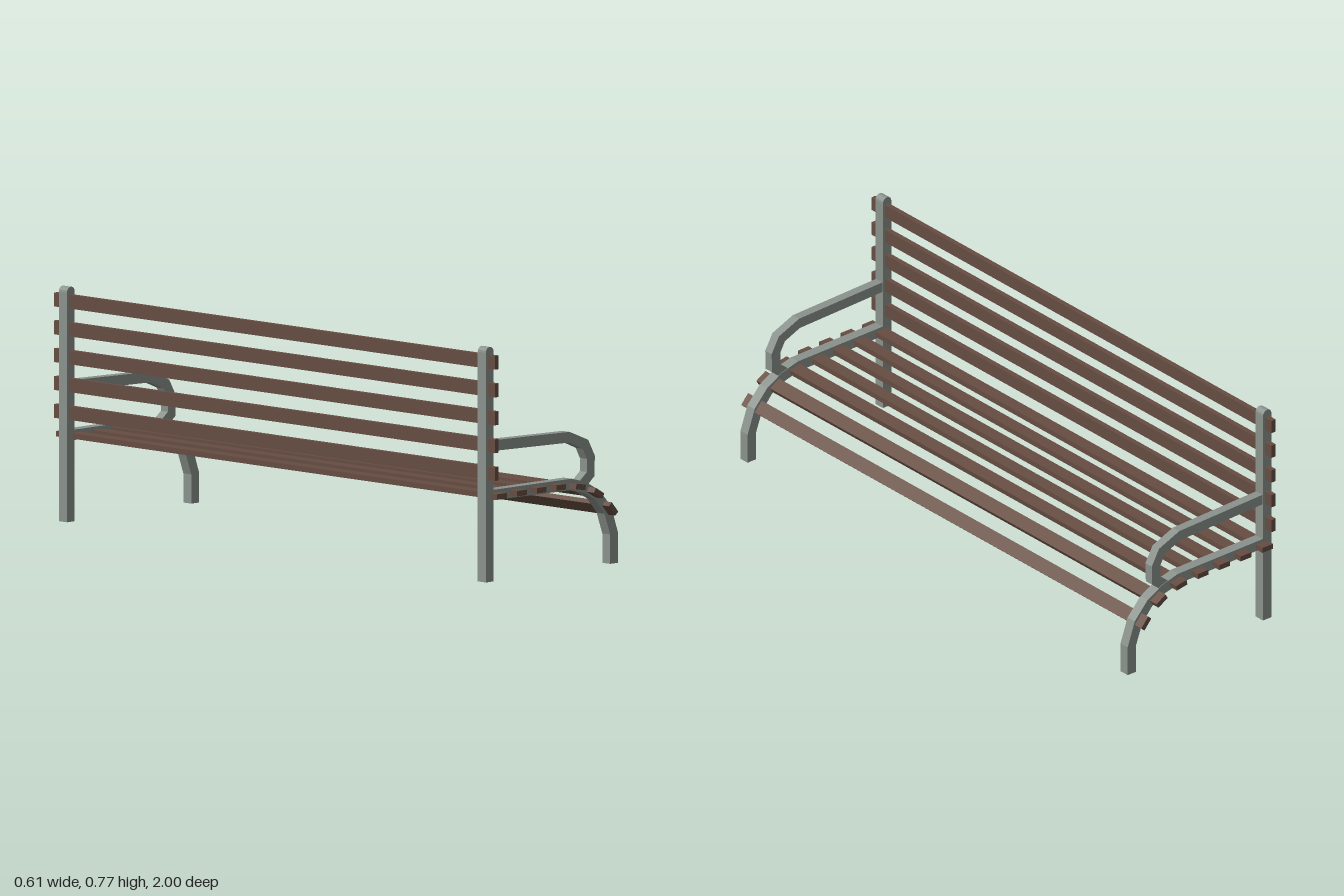
import * as THREE from 'three';

export function createModel() {
  const model = new THREE.Group();
  const metal = new THREE.MeshStandardMaterial({ color: 0x8a928c });
  const wood = new THREE.MeshStandardMaterial({ color: 0x664d42 });

  // Extrude a side profile (x, y) to a bar centred on z = 0
  const bar = (points, width) => {
    const shape = new THREE.Shape(points.map(([x, y]) => new THREE.Vector2(x, y)));
    const geometry = new THREE.ExtrudeGeometry(shape, { depth: width, bevelEnabled: false });
    return geometry.translate(0, 0, -width / 2);
  };

  // Back post with a rounded top
  const post = [[-0.307, 0], [-0.271, 0]];
  for (let i = 0; i <= 8; i++) {
    const a = (i / 8) * Math.PI;
    post.push([-0.289 + 0.018 * Math.cos(a), 0.752 + 0.018 * Math.sin(a)]);
  }

  // Seat rail curving down into the front leg
  const rail = [
    [-0.28, 0.3], [0.09, 0.298], [0.155, 0.281], [0.22, 0.246], [0.274, 0.187], [0.304, 0.102], [0.304, 0],
    [0.269, 0], [0.269, 0.096], [0.243, 0.167], [0.2, 0.218], [0.145, 0.246], [0.086, 0.261], [-0.28, 0.266],
  ];

  // Armrest curling back to the seat rail
  const arm = [
    [-0.28, 0.462], [0.083, 0.452], [0.169, 0.417], [0.2, 0.362], [0.198, 0.295], [0.165, 0.268],
    [0.13, 0.286], [0.163, 0.312], [0.163, 0.355], [0.144, 0.39], [0.08, 0.417], [-0.28, 0.427],
  ];

  const parts = [
    ['backPost', bar(post, 0.037)],
    ['seatRailAndFrontLeg', bar(rail, 0.036)],
    ['armrest', bar(arm, 0.032)],
  ];
  for (const side of [-1, 1]) {
    const frame = new THREE.Group();
    frame.name = side > 0 ? 'frontEndFrame' : 'rearEndFrame';
    frame.position.z = side * 0.95;
    for (const [name, geometry] of parts) {
      const mesh = new THREE.Mesh(geometry, metal);
      mesh.name = name;
      frame.add(mesh);
    }
    model.add(frame);
  }

  // Wooden slats spanning the full length
  const slatGeometry = new THREE.BoxGeometry(0.045, 0.018, 2);
  const addSlat = (name, x, y, degrees) => {
    const slat = new THREE.Mesh(slatGeometry, wood);
    slat.name = name;
    slat.position.set(x, y, 0);
    slat.rotation.z = THREE.MathUtils.degToRad(degrees);
    model.add(slat);
  };
  for (let i = 0; i < 5; i++) addSlat('backSlat', -0.289, 0.357 + i * 0.0912, 90);
  [
    [-0.264, 0.281, 0], [-0.172, 0.282, 0], [-0.081, 0.282, 0], [0.01, 0.281, -1],
    [0.101, 0.273, -10], [0.185, 0.244, -30], [0.252, 0.185, -49],
  ].forEach(([x, y, degrees]) => addSlat('seatSlat', x, y, degrees));

  return model;
}
